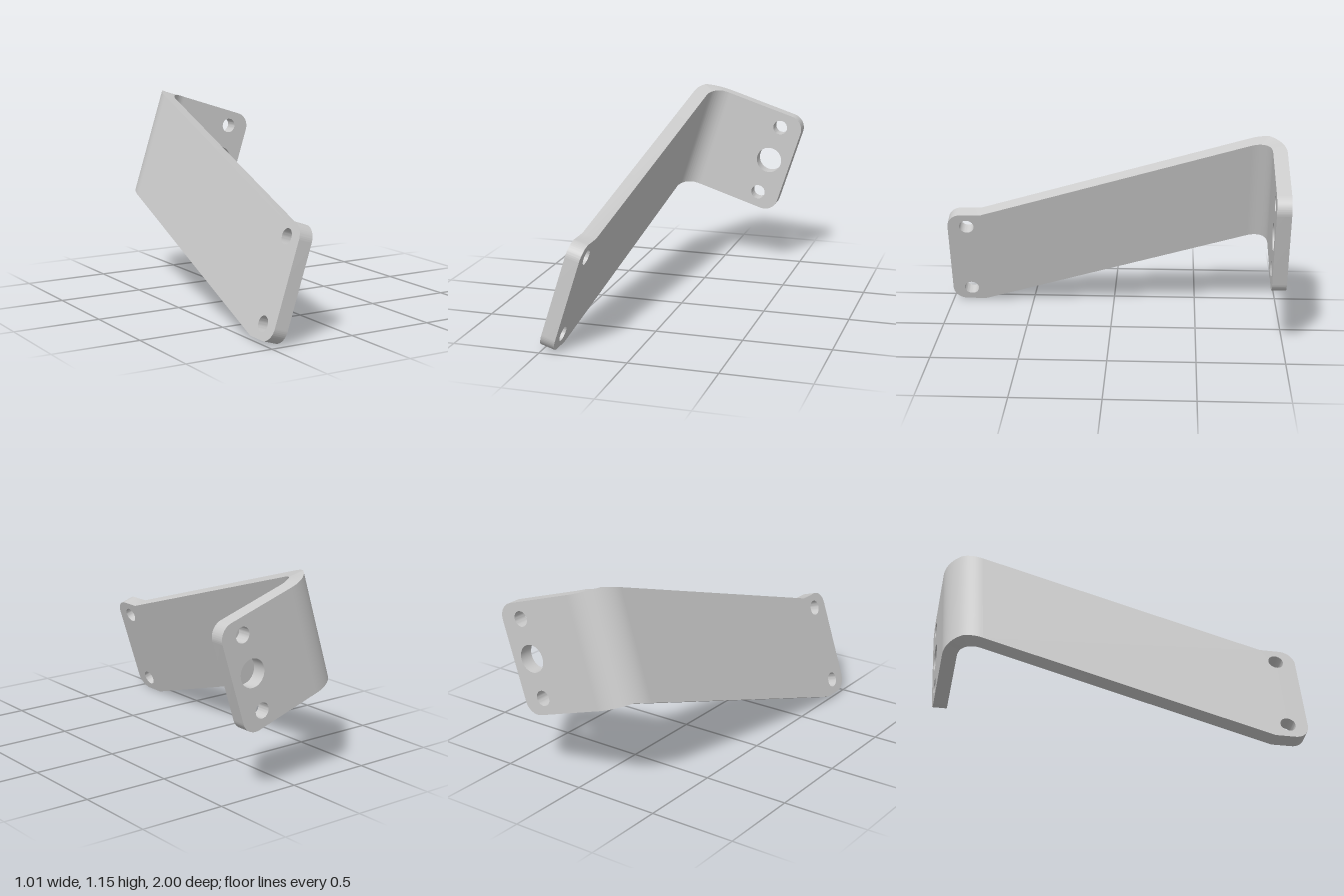
import * as THREE from 'three';
import { toCreasedNormals } from 'three/addons/utils/BufferGeometryUtils.js';

// Local frame: x across the sheet of the arm, y along its width, z lengthwise.
const TILT = 0.311;          // lean of the whole bracket about z
const THICK = 0.082;         // sheet thickness
const ARM_X = -0.493;        // outer face of the arm
const BEND_Z = -0.8;         // where the bend starts
const R_OUT = 0.2, R_IN = R_OUT - THICK;
const BEND_X = ARM_X + R_OUT;
const LOW = -0.127, WIDTH = 0.636, FLANGE_LOW = 0.428;
const CORNER = 0.085, SMALL_HOLE = 0.044;

// Lower edge of the sheet: flat tab, sloped arm, flat flange
const lowerEdge = z => Math.min(FLANGE_LOW, LOW + 0.325 * Math.max(0, 0.8 - z));

const material = new THREE.MeshStandardMaterial({ color: 0xcccccc });

function addPart(group, name, geometry) {
  const mesh = new THREE.Mesh(toCreasedNormals(geometry, 0.5), material);
  mesh.name = name;
  group.add(mesh);
}

// Plate outline running from u0 to a rounded end at u1
function plate(u0, y0, bends, u1, y1, holes) {
  const s = new THREE.Shape();
  const top = y1 + WIDTH;
  s.moveTo(u0, y0);
  bends.forEach(u => s.lineTo(u, y1));
  s.lineTo(u1 - CORNER, y1);
  s.absarc(u1 - CORNER, y1 + CORNER, CORNER, -Math.PI / 2, 0, false);
  s.lineTo(u1, top - CORNER);
  s.absarc(u1 - CORNER, top - CORNER, CORNER, 0, Math.PI / 2, false);
  bends.forEach(u => s.lineTo(u, top));
  s.lineTo(u0, y0 + WIDTH);
  s.closePath();
  for (const [u, v, r] of holes) {
    s.holes.push(new THREE.Path().absarc(u, v, r, 0, Math.PI * 2, true));
  }
  return new THREE.ExtrudeGeometry(s, { depth: THICK, bevelEnabled: false, curveSegments: 20 });
}

// Curved sheet joining arm and flange, from four-point cross-sections
function bendGeometry() {
  const steps = 28, pos = [], index = [];
  for (let i = 0; i <= steps; i++) {
    const t = (i / steps) * Math.PI / 2;
    const point = (r, up) => {
      const z = BEND_Z - r * Math.sin(t);
      pos.push(BEND_X - r * Math.cos(t), lowerEdge(z) + up, z);
    };
    point(R_IN, 0);
    point(R_OUT, 0);
    point(R_OUT, WIDTH);
    point(R_IN, WIDTH);
    if (i === steps) break;
    for (let j = 0; j < 4; j++) {
      const a = i * 4 + j, b = i * 4 + (j + 1) % 4;
      index.push(a, b, a + 4, b, b + 4, a + 4);
    }
  }
  const g = new THREE.BufferGeometry();
  g.setAttribute('position', new THREE.Float32BufferAttribute(pos, 3));
  g.setIndex(index);
  g.computeVertexNormals();
  return g;
}

export function createModel() {
  const group = new THREE.Group();
  group.name = 'bracket';

  // Long arm with two bolt holes in its front tab
  const mid = LOW + WIDTH / 2;
  const arm = plate(BEND_Z, lowerEdge(BEND_Z), [0.8], 1, LOW,
    [-0.234, 0.234].map(d => [0.885, mid + d, SMALL_HOLE]));
  arm.rotateY(-Math.PI / 2).translate(ARM_X + THICK, 0, 0);
  addPart(group, 'arm', arm);

  addPart(group, 'bend', bendGeometry());

  // Rear flange with a large hole between two small ones
  const centre = FLANGE_LOW + WIDTH / 2;
  const flange = plate(BEND_X, FLANGE_LOW, [], 0.212, FLANGE_LOW, [
    [0.078, centre, 0.079],
    [0.078, centre - 0.2245, SMALL_HOLE],
    [0.078, centre + 0.2245, SMALL_HOLE],
  ]);
  flange.translate(0, 0, -1);
  addPart(group, 'flange', flange);

  group.rotation.z = -TILT;
  group.position.y = -0.005;
  const root = new THREE.Group();
  root.add(group);
  return root;
}
